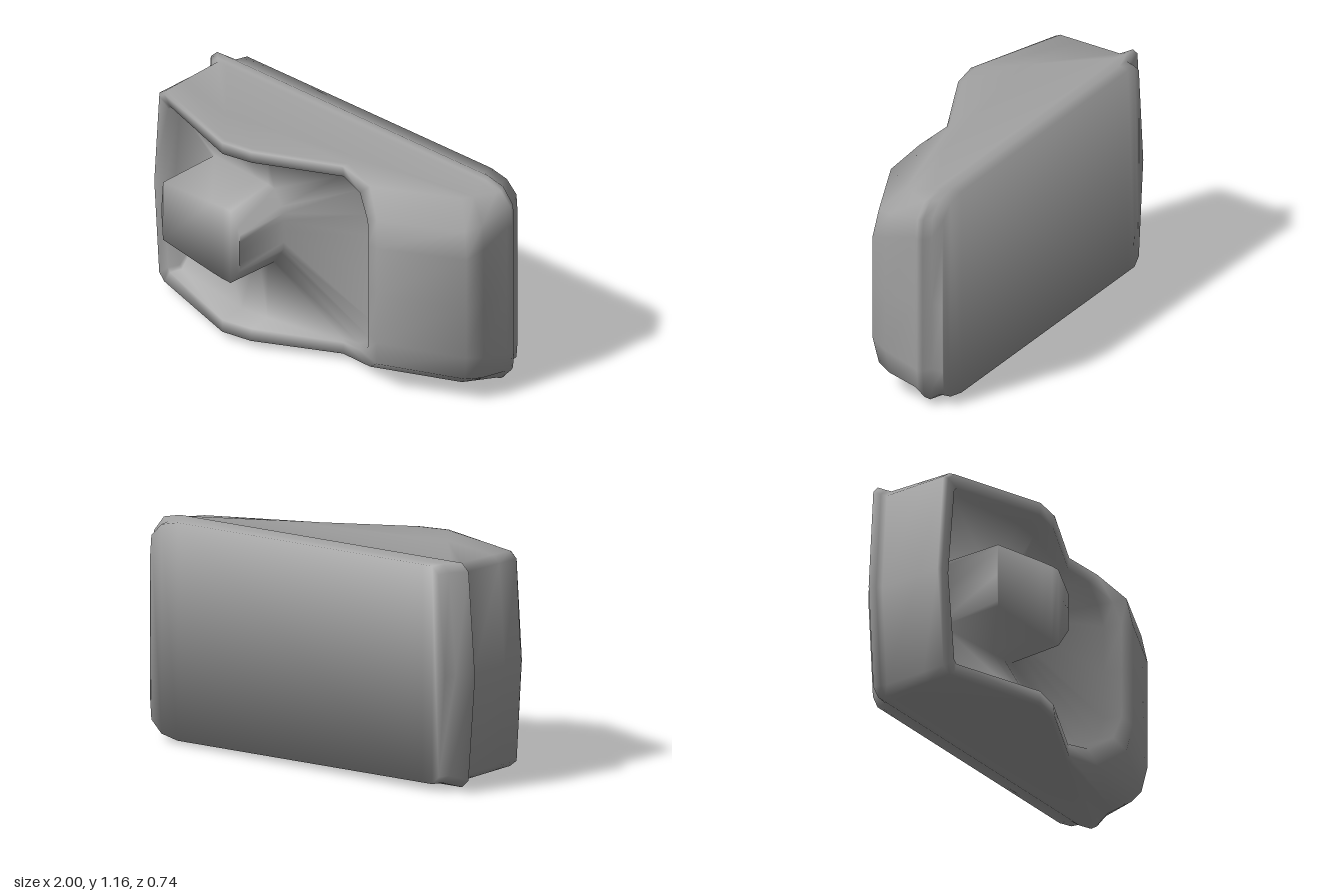
import * as THREE from 'three';

// Full ring from its upper half [x, h, z]; h is the height above the tilted centre line.
// Points run from the right middle over the top to the left middle, then mirrored below.
function ring(half) {
  const lower = half.slice(1, -1).reverse().map(([x, h, z]) => [x, -h, z]);
  return [...half, ...lower].map(([x, h, z]) => new THREE.Vector3(x, 0.578 - 0.014 * x + h, z));
}

// Triangles between consecutive rings, ordered from the front middle outward and back
function skin(first, last, n) {
  const index = [];
  for (let i = first; i < last; i++) {
    for (let j = 0; j < n; j++) {
      const a = i * n + j, b = i * n + (j + 1) % n;
      index.push(a, a + n, b + n, a, b + n, b);
    }
  }
  return index;
}

// Triangles closing one ring, joining each upper point to its mirrored lower one
function cap(i, n, back) {
  const index = [];
  for (let j = 0; j < n / 2; j++) {
    const a = i * n + j, b = a + 1;
    const lowA = i * n + (n - j) % n, lowB = i * n + n - j - 1;
    if (b !== lowB) index.push(a, b, lowB);
    if (a !== lowA) index.push(a, lowB, lowA);
  }
  return back ? index.reverse() : index;
}

// Smooth normals in which every face counts alike, so the shading rolls over the edges
function softNormals(points, index) {
  const normals = points.map(() => new THREE.Vector3());
  const normal = new THREE.Vector3();
  for (let t = 0; t < index.length; t += 3) {
    const corners = index.slice(t, t + 3);
    THREE.Triangle.getNormal(...corners.map((c) => points[c]), normal);
    corners.forEach((c) => normals[c].add(normal));
  }
  return normals.map((v) => v.normalize());
}

// Rounded outline, reused at several depths for the flange and the base
function outline(right, left, h, z) {
  const corners = [
    [right, 0], [right, 0.36], [right - 0.008, 0.465], [right - 0.07, h - 0.022], [right - 0.17, h],
    [left + 0.2, h], [left + 0.14, h], [left + 0.08, h], [left + 0.04, h - 0.04], [left, 0],
  ];
  return corners.map(([x, y]) => [x, y, z]);
}

export function createModel() {
  const group = new THREE.Group();
  group.name = 'housing';
  const material = new THREE.MeshStandardMaterial({ color: 0xa0a0a0 });

  // Central block, running back to a foot on the sloping recess floor
  const block = [
    [-0.22, 0, 0.366], [-0.22, 0.06, 0.366], [-0.22, 0.1, 0.364], [-0.24, 0.13, 0.361], [-0.29, 0.205, 0.353],
    [-0.34, 0.205, 0.35], [-0.42, 0.198, 0.345], [-0.755, 0.165, 0.315], [-0.758, 0.14, 0.315], [-0.765, 0, 0.318],
  ];
  const foot = block.map(([x, h]) => [x + 0.03, h * 1.02, 0.07 + (x + 0.22) * 0.2]);

  // Edge of the opening, and the recess wall leaning in behind it
  const opening = [
    [0.47, 0, 0.205], [0.47, 0.25, 0.205], [0.44, 0.365, 0.175], [0.33, 0.45, 0.105], [0.2, 0.475, 0.075],
    [-0.22, 0.475, 0.275], [-0.38, 0.475, 0.307], [-0.86, 0.475, 0.14], [-0.875, 0.455, 0.137], [-0.91, 0, 0.125],
  ];
  const wall = opening.map(([x, h, z]) => [x * 0.95 - 0.01, h * 0.98, z * 0.5 + 0.02]);

  // Front rim and shoulder
  const rim = [
    [0.54, 0, 0.225], [0.54, 0.27, 0.225], [0.52, 0.41, 0.2], [0.4, 0.515, 0.11], [0.2, 0.535, 0.08],
    [-0.22, 0.54, 0.283], [-0.38, 0.54, 0.31], [-0.89, 0.535, 0.148], [-0.93, 0.5, 0.14], [-0.97, 0, 0.13],
  ];
  const shoulder = [
    [0.95, 0, 0.03], [0.95, 0.28, 0.03], [0.925, 0.42, 0.01], [0.82, 0.525, -0.09], [0.22, 0.544, 0.055],
    [-0.22, 0.545, 0.26], [-0.38, 0.545, 0.287], [-0.9, 0.543, 0.125], [-0.945, 0.51, 0.12], [-0.98, 0, 0.11],
  ];

  // Sides, bulging slightly on the right between the shoulder and the flange
  const sideBack = outline(0.985, -0.955, 0.55, -0.235);
  const sideMiddle = shoulder.map((p, j) => {
    const [x, h, z] = p.map((v, k) => THREE.MathUtils.lerp(v, sideBack[j][k], 0.35));
    return [x > 0.9 ? x + 0.02 : x, h, z];
  });

  const rings = [
    block, foot, wall, opening, rim, shoulder, sideMiddle, sideBack,
    outline(1, -0.975, 0.556, -0.258),
    outline(0.99, -1, 0.566, -0.285),
    outline(0.945, -0.9, 0.552, -0.31),
    outline(0.94, -0.88, 0.55, -0.37),
  ].map(ring);

  const n = rings[0].length;
  const parts = {
    centralBlock: [...cap(0, n, false), ...skin(0, 1, n)],
    recess: skin(1, 3, n),
    shell: skin(3, 7, n),
    flange: skin(7, 10, n),
    base: [...skin(10, 11, n), ...cap(11, n, true)],
  };

  // The parts share points and normals, so the shading is continuous across their joints
  const points = rings.flat();
  const normals = softNormals(points, Object.values(parts).flat());
  for (const [name, index] of Object.entries(parts)) {
    const geometry = new THREE.BufferGeometry().setFromPoints(points);
    geometry.setAttribute('normal', new THREE.Float32BufferAttribute(normals.flatMap((v) => v.toArray()), 3));
    geometry.setIndex(index);
    const mesh = new THREE.Mesh(geometry, material);
    mesh.name = name;
    group.add(mesh);
  }
  return group;
}
